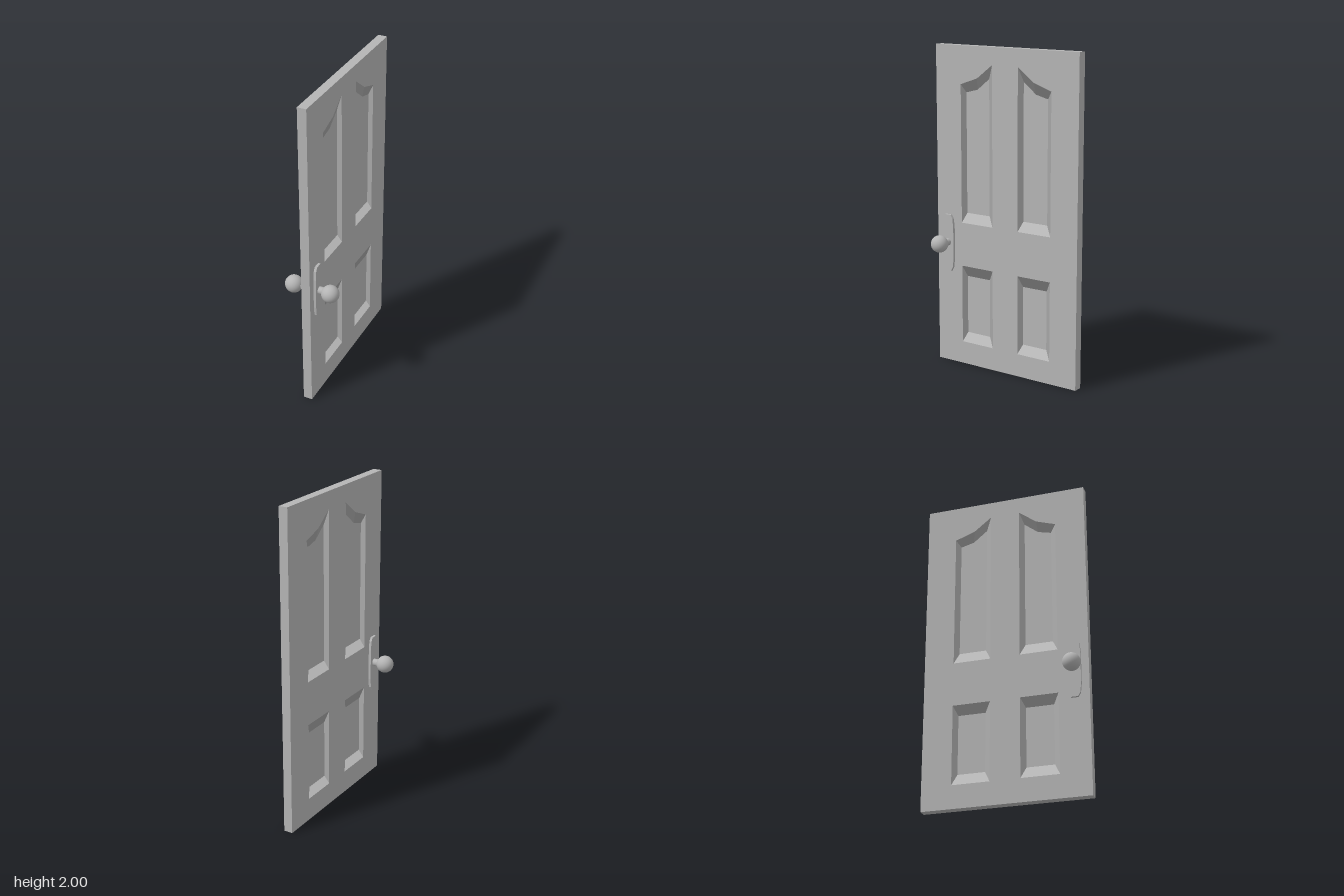
import * as THREE from 'three';

const HALF = 0.028;     // half the slab thickness
const DEPTH = 0.015;    // panel recess depth
const WIDTH = 0.513;    // half the slab width
const KNOB_Y = 0.78, KNOB_Z = 0.432, PLATE_Z = 0.425;

const grey = new THREE.MeshStandardMaterial({ color: 0xb4b4b4 });
grey.name = 'door grey';

const mesh = (name, geometry) => {
  const m = new THREE.Mesh(geometry, grey);
  m.name = name;
  return m;
};
const mirror = pts => pts.map(([x, y]) => [-x, y]).reverse();
const toShape = pts => new THREE.Shape(pts.map(([x, y]) => new THREE.Vector2(x, y)));

// Strip of quads between two matching loops; normals lean inward / outward of the face
function band(a, b, za, zb, inward, out) {
  const pos = [], nor = [];
  a.forEach((p, i) => {
    const j = (i + 1) % a.length, q = a[j], r = b[j], s = b[i];
    const dx = q[0] - p[0], dy = q[1] - p[1], len = Math.hypot(dx, dy);
    pos.push(...p, za, ...q, za, ...r, zb, ...p, za, ...r, zb, ...s, zb);
    for (let k = 0; k < 6; k++) nor.push(-dy / len * inward, dx / len * inward, out);
  });
  const g = new THREE.BufferGeometry();
  g.setAttribute('position', new THREE.Float32BufferAttribute(pos, 3));
  g.setAttribute('normal', new THREE.Float32BufferAttribute(nor, 3));
  return g;
}

// Panel outlines: rim of the recess and its floor
const upper = {
  rim: [[0.0925, 0.912], [0.3265, 0.912], [0.3265, 1.767], [0.204, 1.809], [0.0925, 1.894]],
  floor: [[0.1245, 0.976], [0.2945, 0.976], [0.2945, 1.719], [0.211, 1.74], [0.1245, 1.809]],
};
const lower = {
  rim: [[0.0925, 0.143], [0.3265, 0.143], [0.3265, 0.637], [0.0925, 0.637]],
  floor: [[0.1245, 0.207], [0.2945, 0.207], [0.2945, 0.573], [0.1245, 0.573]],
};
const panels = [upper, lower].flatMap(p => [p, { rim: mirror(p.rim), floor: mirror(p.floor) }]);
const outline = [[-WIDTH, 0], [WIDTH, 0], [WIDTH, 2], [-WIDTH, 2]];

// One face of the door, drawn facing local +z
function doorFace() {
  const g = new THREE.Group();
  const shape = toShape(outline);
  panels.forEach(p => shape.holes.push(toShape(p.rim)));
  g.add(mesh('doorFace', new THREE.ShapeGeometry(shape).translate(0, 0, HALF)));
  panels.forEach(p => {
    g.add(mesh('panelBevel', band(p.rim, p.floor, HALF, HALF - DEPTH, 0.94, 0.34)));
    g.add(mesh('panelFloor', new THREE.ShapeGeometry(toShape(p.floor)).translate(0, 0, HALF - DEPTH)));
  });
  return g;
}

// Plate, stem and round knob, projecting along local +z
function handle() {
  const g = new THREE.Group();
  g.name = 'handle';
  const quarter = [[0.042, 0.098], [0.036, 0.155], [0.022, 0.18]];
  const half = [...quarter, ...mirror(quarter)];
  const plate = toShape([...half, ...half.map(([x, y]) => [-x, -y])]);
  const plateGeo = new THREE.ExtrudeGeometry(plate, { depth: 0.0155, bevelEnabled: false });
  g.add(mesh('backPlate', plateGeo.translate(0, -0.006, HALF)));
  const stem = new THREE.CylinderGeometry(0.023, 0.023, 0.06, 24).rotateX(Math.PI / 2);
  g.add(mesh('knobStem', stem.translate(0, 0, 0.065)));
  g.add(mesh('knob', new THREE.SphereGeometry(0.054, 32, 24)));
  g.children[2].position.z = 0.119;
  return g;
}

export function createModel() {
  const model = new THREE.Group();
  model.name = 'door';
  for (const side of [1, -1]) {
    const half = new THREE.Group();
    half.name = side > 0 ? 'leftSide' : 'rightSide';
    half.rotation.y = side * Math.PI / 2;
    half.add(doorFace());
    const h = handle();
    h.position.set(-side * PLATE_Z, KNOB_Y, 0);
    h.children[2].position.x = -side * (KNOB_Z - PLATE_Z);
    half.add(h);
    model.add(half);
  }
  // Edges around the slab
  const edge = mesh('doorEdge', band(outline, outline, -HALF, HALF, -1, 0));
  edge.rotation.y = Math.PI / 2;
  model.add(edge);
  model.children.forEach(c => { c.position.x = -0.002; });
  return model;
}
